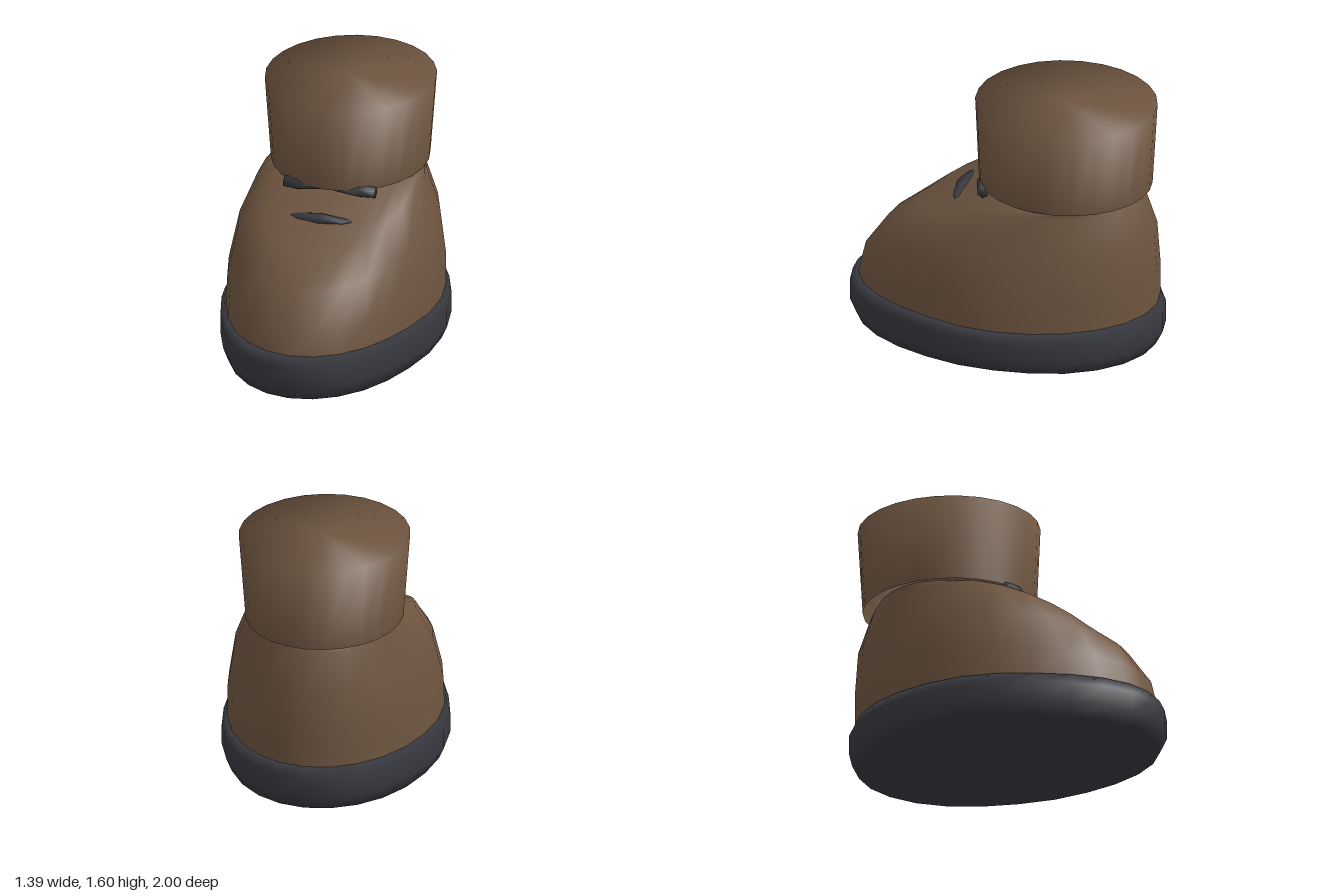
import * as THREE from 'three';

const SEG = 26;

// Skin closed rings of points, with optional end caps sharing smooth normals
function loft(rings, capStart, capEnd) {
  const n = rings[0].length;
  const pos = [];
  const index = [];
  rings.forEach((ring) => ring.forEach((p) => pos.push(p.x, p.y, p.z)));
  for (let i = 0; i < rings.length - 1; i++) {
    for (let j = 0; j < n; j++) {
      const k = (j + 1) % n;
      const a = i * n + j, b = i * n + k, c = a + n, d = b + n;
      index.push(a, b, d, a, d, c);
    }
  }
  const cap = (i, flip) => {
    const mid = new THREE.Vector3();
    rings[i].forEach((p) => mid.addScaledVector(p, 1 / n));
    const m = pos.length / 3;
    pos.push(mid.x, mid.y, mid.z);
    for (let j = 0; j < n; j++) {
      const a = i * n + j, b = i * n + ((j + 1) % n);
      if (flip) index.push(m, b, a);
      else index.push(m, a, b);
    }
  };
  if (capStart) cap(0, true);
  if (capEnd) cap(rings.length - 1, false);
  const geo = new THREE.BufferGeometry();
  geo.setAttribute('position', new THREE.Float32BufferAttribute(pos, 3));
  geo.setIndex(index);
  geo.computeVertexNormals();
  return geo;
}

// Oval ring, slightly narrowed toward the toe; yFront dips its front half
function oval(halfX, front, back, y, yFront = y, narrow = 0) {
  const ring = [];
  for (let j = 0; j < SEG; j++) {
    const t = (j / SEG) * Math.PI * 2;
    const f = Math.max(0, Math.cos(t));
    const x = halfX * Math.sin(t) * (1 - narrow * Math.min(1, f / 0.45));
    const z = (front + back) / 2 + ((front - back) / 2) * Math.cos(t);
    ring.push(new THREE.Vector3(x, y + (yFront - y) * Math.pow(f, 1.5), z));
  }
  return ring;
}

// Lace running along x: each station is [x, y, z, radiusY, radiusZ]
function lace(stations) {
  const sides = 6;
  return loft(stations.map(([x, y, z, ry, rz]) => {
    const ring = [];
    for (let j = 0; j < sides; j++) {
      const t = (j / sides) * Math.PI * 2;
      ring.push(new THREE.Vector3(x, y + ry * Math.cos(t), z + rz * Math.sin(t)));
    }
    return ring;
  }), true, true);
}

// Mirror half a lace, listed from the middle outwards
function mirrored(half) {
  const left = half.slice(1).reverse().map(([x, ...rest]) => [-x, ...rest]);
  return [...left, ...half];
}

export function createModel() {
  const leather = new THREE.MeshStandardMaterial({ color: 0x6e5540, side: THREE.DoubleSide });
  leather.name = 'brown leather';
  const rubber = new THREE.MeshStandardMaterial({ color: 0x38393f });
  rubber.name = 'charcoal rubber';

  const group = new THREE.Group();
  group.name = 'boot';
  const add = (name, geo, mat) => {
    const mesh = new THREE.Mesh(geo, mat);
    mesh.name = name;
    group.add(mesh);
  };

  // Sole with bevelled edges and a shallow arch underneath
  const soleRings = [[0.955, 0], [1, 0.09], [1, 0.22], [0.968, 0.285]]
    .map(([s, y]) => oval(0.7 * s, s, -s, y, y, 0.07));
  soleRings[0].forEach((p) => { p.y = 0.018 * Math.exp(-Math.pow((p.z + 0.1) / 0.4, 2)); });
  add('sole', loft(soleRings, true, true), rubber);

  // Foot, closing toward the ankle with the toe sloping down
  add('upper', loft([
    oval(0.665, 0.95, -0.965, 0.27, 0.27, 0.06),
    oval(0.66, 0.915, -0.965, 0.49, 0.42, 0.06),
    oval(0.607, 0.77, -0.945, 0.78, 0.63, 0.04),
    oval(0.512, 0.545, -0.865, 1.02, 0.8, 0.02),
    oval(0.465, 0, -0.81, 1.062),
  ], false, false), leather);

  // Flared ankle cuff with a closed top
  add('cuff', loft([
    oval(0.487, 0.165, -0.915, 1.062),
    oval(0.528, 0.187, -0.945, 1.605),
  ], false, true), leather);

  // Upper lace: a bow-shaped band across the ankle
  add('upperLace', lace(mirrored([
    [0, 1.078, 0.125, 0.028, 0.03],
    [0.15, 1.05, 0.11, 0.03, 0.032],
    [0.2, 1.053, 0.1, 0.042, 0.04],
    [0.292, 1.04, 0.07, 0.037, 0.038],
  ])), rubber);

  // Lower lace: a tapered spindle on the instep
  add('lowerLace', lace(mirrored([
    [0, 0.922, 0.287, 0.036, 0.045],
    [0.14, 0.915, 0.275, 0.021, 0.036],
    [0.225, 0.916, 0.268, 0.003, 0.004],
  ])), rubber);

  return group;
}
